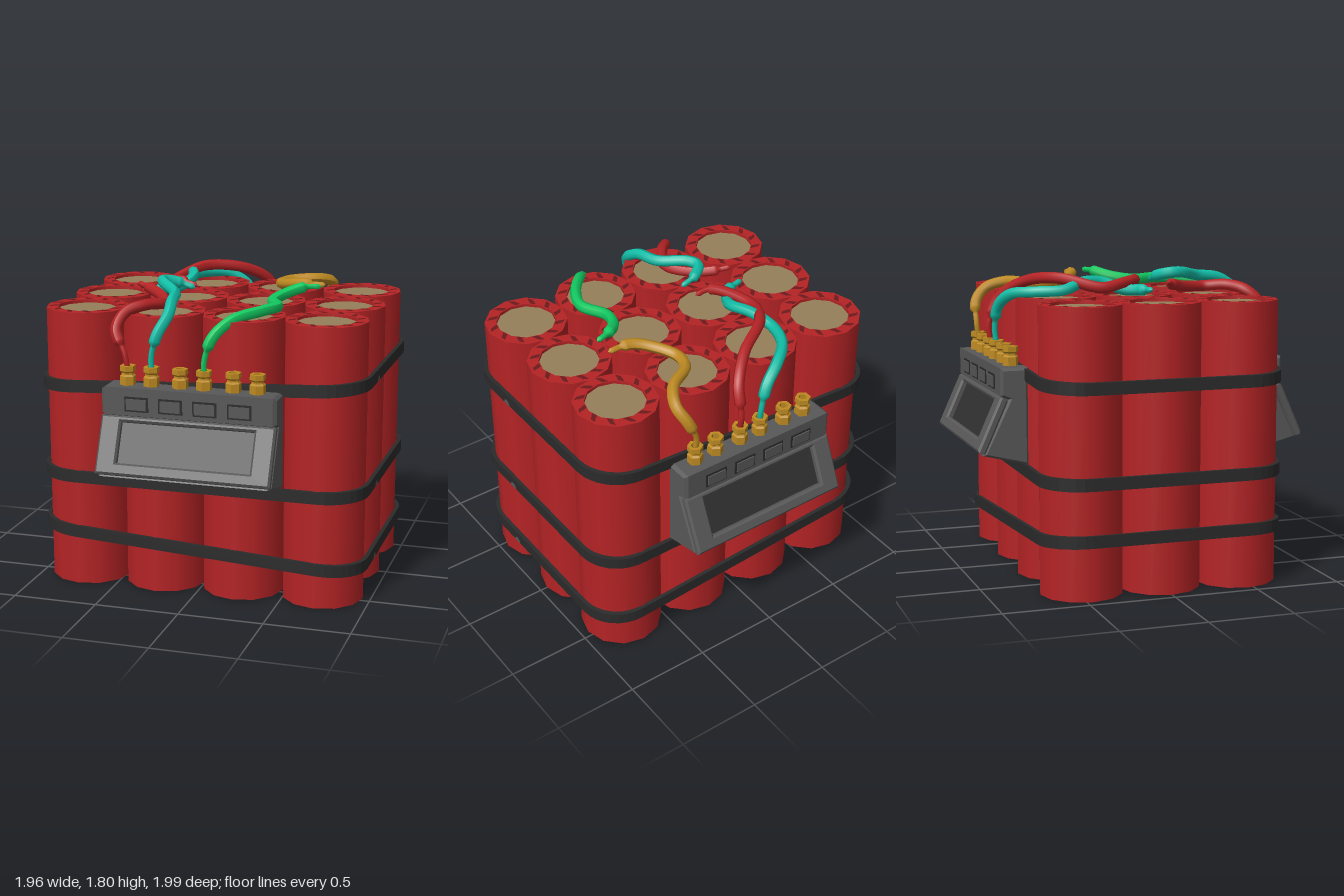
import * as THREE from 'three';

const mat = (name, color, side = THREE.FrontSide) => {
  const m = new THREE.MeshStandardMaterial({ color, side });
  m.name = name;
  return m;
};

export function createModel() {
  const red = mat('red paper', 0xb42325);
  const darkRed = mat('dark red folds', 0x6c1a1c, THREE.DoubleSide);
  const tan = mat('tan filling', 0x957f58);
  const grey = mat('grey casing', 0x585858);
  const black = mat('black strap', 0x2b2b2b);
  const screenMat = mat('dark screen', 0x303030);
  const gold = mat('gold', 0xbd8a22);
  const teal = mat('teal wire', 0x12bda6);
  const green = mat('green wire', 0x12c860);

  const model = new THREE.Group();
  const add = (parent, name, geo, material, x = 0, y = 0, z = 0) => {
    const m = new THREE.Mesh(geo, material);
    m.name = name;
    m.position.set(x, y, z);
    parent.add(m);
    return m;
  };

  // Paper tubes: wall, end rims with folded creases, recessed filling
  const R = 0.24, r = 0.172, H = 1.635, sides = 12;
  const wall = new THREE.CylinderGeometry(R, R, H, sides, 1, true);
  const rim = new THREE.RingGeometry(r, R, sides).rotateX(-Math.PI / 2);
  const lip = new THREE.CylinderGeometry(r, r, 0.02, sides, 1, true).scale(-1, 1, 1);
  lip.index.array.reverse();
  const filling = new THREE.CircleGeometry(r, sides).rotateX(-Math.PI / 2);
  const foldPoints = [];
  for (let i = 0; i < sides; i++) {
    const a = (i / sides) * Math.PI * 2;
    const at = (t, rad) => [Math.cos(a + t) * rad, 0.002, Math.sin(a + t) * rad];
    foldPoints.push(...at(0.06, 0.226), ...at(0.36, r), ...at(0.16, r));
    foldPoints.push(...at(0.06, 0.226), ...at(0.2, 0.215), ...at(0.36, r));
  }
  const folds = new THREE.BufferGeometry();
  folds.setAttribute('position', new THREE.Float32BufferAttribute(foldPoints, 3));
  folds.computeVertexNormals();
  const lipMat = mat('red paper', 0xb42325, THREE.DoubleSide);

  for (const x of [-0.715, -0.24, 0.235, 0.715]) {
    for (const z of [-0.465, 0, 0.465]) {
      const stick = new THREE.Group();
      stick.name = 'paperTube';
      stick.position.set(x, 0, z);
      add(stick, 'tubeWall', wall, red, 0, H / 2, 0);
      for (const top of [true, false]) {
        const end = new THREE.Group();
        end.name = top ? 'topEnd' : 'bottomEnd';
        end.position.y = top ? H : 0;
        if (!top) end.rotation.x = Math.PI;
        add(end, 'rim', rim, red);
        add(end, 'rimFolds', folds, darkRed);
        add(end, 'rimLip', lip, lipMat, 0, -0.01, 0);
        add(end, 'filling', filling, tan, 0, -0.018, 0);
        stick.add(end);
      }
      model.add(stick);
    }
  }

  // Straps: rounded rectangular loops, sheared so some run at a slant
  const roundedRect = (target, w, d, c) => {
    target.moveTo(w, -d + c);
    target.absarc(w - c, d - c, c, 0, Math.PI / 2);
    target.absarc(-w + c, d - c, c, Math.PI / 2, Math.PI);
    target.absarc(-w + c, -d + c, c, Math.PI, Math.PI * 1.5);
    target.absarc(w - c, -d + c, c, Math.PI * 1.5, Math.PI * 2);
    return target;
  };
  const clip = new THREE.CircleGeometry(0.03, 8, 0, Math.PI).rotateY(Math.PI / 2);
  for (const [yLeft, yRight] of [[0.345, 0.222], [0.665, 0.665], [1.195, 1.292]]) {
    const loop = roundedRect(new THREE.Shape(), 0.98, 0.722, 0.25);
    loop.holes.push(roundedRect(new THREE.Path(), 0.957, 0.699, 0.235));
    const geo = new THREE.ExtrudeGeometry(loop, { depth: 0.07, bevelEnabled: false, curveSegments: 4 });
    geo.translate(0, 0, -0.035).rotateX(-Math.PI / 2);
    const p = geo.attributes.position;
    for (let i = 0; i < p.count; i++) {
      const t = (p.getX(i) + 0.98) / 1.96;
      p.setY(i, p.getY(i) + yLeft + (yRight - yLeft) * t);
    }
    geo.computeVertexNormals();
    add(model, 'strap', geo, black);
    add(model, 'strapClip', clip, grey, 0.982, yRight - 0.033, 0.28);
  }

  // Control box: casing, sloped bezel with sunk screen, buttons, terminals
  const casingShape = new THREE.Shape([
    [0.7, 0.7], [0.965, 0.765], [0.815, 1.08], [0.86, 1.1], [0.86, 1.26], [0.7, 1.26],
  ].map(([z, y]) => new THREE.Vector2(z, y)));
  const casing = new THREE.ExtrudeGeometry(casingShape, {
    depth: 0.98, bevelThickness: 0.02, bevelSize: 0.015, bevelOffset: -0.015, bevelSegments: 1,
  });
  casing.translate(0, 0, -0.49).rotateY(-Math.PI / 2);
  const rect = (Type, w, y0, y1) => new Type([[-w, y0], [w, y0], [w, y1], [-w, y1]]
    .map(([x, y]) => new THREE.Vector2(x, y)));
  const bezelShape = rect(THREE.Shape, 0.51, -0.17, 0.17);
  bezelShape.holes.push(rect(THREE.Path, 0.39, -0.1, 0.135));
  const bezel = new THREE.ExtrudeGeometry(bezelShape, {
    depth: 0.026, bevelThickness: 0.012, bevelSize: 0.012, bevelOffset: -0.012, bevelSegments: 1,
  });
  bezel.translate(0, 0, -0.038);
  const terminal = new THREE.LatheGeometry([
    [0.046, 0], [0.046, 0.05], [0.036, 0.06], [0.036, 0.07], [0.046, 0.08],
    [0.046, 0.11], [0.025, 0.11], [0.025, 0.075], [0, 0.075],
  ].map(([a, b]) => new THREE.Vector2(a, b)), 6).toNonIndexed();
  terminal.computeVertexNormals();

  for (const facing of [0, Math.PI]) {
    const box = new THREE.Group();
    box.name = facing ? 'backControlBox' : 'frontControlBox';
    box.position.x = 0.02;
    box.rotation.y = facing;
    add(box, 'casing', casing, grey);
    const panel = new THREE.Group();
    panel.name = 'screenPanel';
    panel.position.set(0, 0.945, 0.93);
    panel.rotation.x = -0.424;
    add(panel, 'bezel', bezel, grey);
    add(panel, 'screen', new THREE.BoxGeometry(0.79, 0.245, 0.008), screenMat, 0, 0.0175, -0.04);
    box.add(panel);
    for (const x of [-0.3, -0.1, 0.1, 0.3]) {
      add(box, 'buttonSurround', new THREE.BoxGeometry(0.14, 0.085, 0.008), black, x, 1.168, 0.861);
      add(box, 'button', new THREE.BoxGeometry(0.118, 0.063, 0.02), grey, x, 1.168, 0.862);
    }
    for (const x of [-0.38, -0.24, -0.07, 0.07, 0.24, 0.38]) {
      add(box, 'terminal', terminal, gold, x, 1.26, 0.77);
    }
    model.add(box);
  }

  // Wires: sleeved tubes that narrow to bare ends
  const wire = (name, material, points) => {
    const curve = new THREE.CatmullRomCurve3(points.map((p) => new THREE.Vector3(...p)));
    const n = 72, k = 8, len = curve.getLength();
    const geo = new THREE.TubeGeometry(curve, n, 0.033, k);
    const pos = geo.attributes.position, v = new THREE.Vector3();
    for (let i = 0; i <= n; i++) {
      const d = (i / n) * len, c = curve.getPointAt(i / n);
      const thin = d < 0.16 || d > len - 0.09;
      const s = i === 0 || i === n ? 0 : thin ? 0.5 : 1;
      for (let j = 0; j <= k; j++) {
        const q = i * (k + 1) + j;
        v.fromBufferAttribute(pos, q).sub(c).multiplyScalar(s).add(c);
        pos.setXYZ(q, v.x, v.y, v.z);
      }
    }
    geo.computeVertexNormals();
    add(model, name, geo, material);
  };
  wire('frontRedWire', red, [
    [-0.36, 1.34, 0.77], [-0.38, 1.44, 0.77], [-0.44, 1.56, 0.74], [-0.41, 1.65, 0.66], [-0.32, 1.68, 0.57],
    [-0.25, 1.67, 0.44], [-0.32, 1.68, 0.29], [-0.42, 1.7, 0.19], [-0.52, 1.72, 0.13]]);
  wire('frontTealWire', teal, [
    [-0.22, 1.34, 0.77], [-0.22, 1.43, 0.77], [-0.19, 1.55, 0.76], [-0.15, 1.65, 0.68], [-0.16, 1.71, 0.58],
    [-0.19, 1.73, 0.43], [-0.31, 1.76, 0.28], [-0.33, 1.76, 0.21], [-0.26, 1.74, 0.15], [-0.16, 1.71, 0.14]]);
  wire('frontGreenWire', green, [
    [0.09, 1.34, 0.77], [0.09, 1.42, 0.77], [0.13, 1.55, 0.75], [0.22, 1.64, 0.66], [0.35, 1.67, 0.5],
    [0.4, 1.67, 0.36], [0.33, 1.67, 0.2], [0.37, 1.69, 0.07], [0.47, 1.72, -0.02], [0.56, 1.72, -0.05]]);
  wire('backRedWire', red, [
    [0.09, 1.34, -0.77], [0.09, 1.45, -0.78], [0.07, 1.61, -0.72], [-0.06, 1.71, -0.6], [-0.28, 1.74, -0.45],
    [-0.4, 1.69, -0.24], [-0.35, 1.71, -0.09], [-0.27, 1.72, 0.01], [-0.18, 1.7, 0.03]]);
  wire('backTealWire', teal, [
    [-0.05, 1.34, -0.77], [-0.05, 1.43, -0.78], [-0.09, 1.57, -0.77], [-0.2, 1.65, -0.72], [-0.32, 1.67, -0.61],
    [-0.37, 1.68, -0.45], [-0.32, 1.72, -0.32], [-0.28, 1.71, -0.19], [-0.33, 1.67, -0.08], [-0.4, 1.67, 0],
    [-0.52, 1.68, 0.03]]);
  wire('backGoldWire', gold, [
    [0.4, 1.34, -0.77], [0.4, 1.43, -0.78], [0.45, 1.55, -0.77], [0.48, 1.63, -0.7], [0.42, 1.67, -0.59],
    [0.26, 1.67, -0.48], [0.23, 1.67, -0.37], [0.31, 1.69, -0.24], [0.41, 1.71, -0.17], [0.56, 1.71, -0.16]]);

  return model;
}
